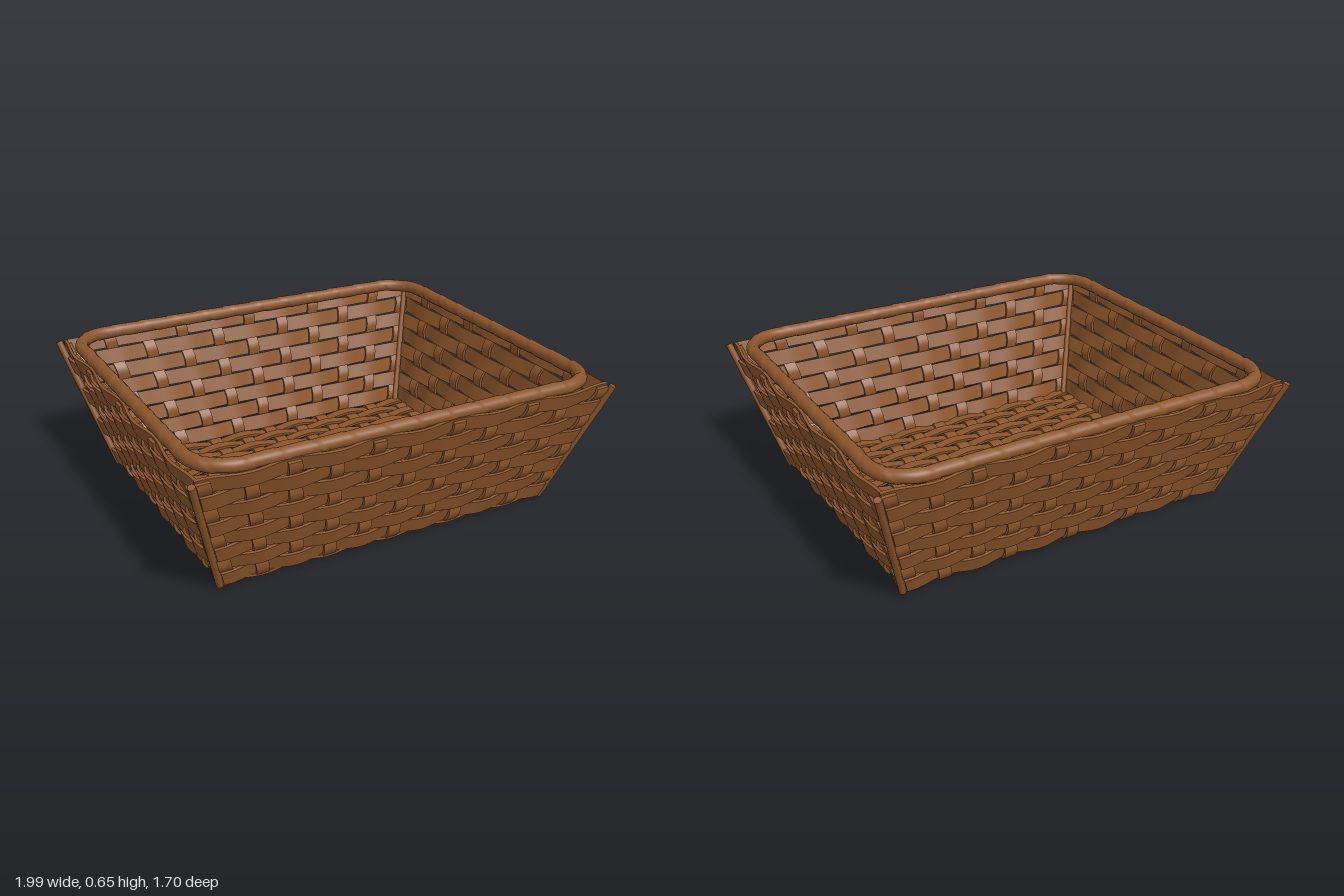
import * as THREE from 'three';

const wicker = new THREE.MeshStandardMaterial({ color: 0x8b552b });
wicker.name = 'wicker brown';

const HEIGHT = 0.61, ROW = 0.0745, ROW0 = 0.058;
const THICK = 0.013, WAVE = 0.0105;
const lerp = THREE.MathUtils.lerp;

function add(parent, geometry, name) {
  const mesh = new THREE.Mesh(geometry, wicker);
  mesh.name = name;
  parent.add(mesh);
  return mesh;
}

// Moves every vertex of a geometry by a rule
function bend(geometry, rule) {
  const p = geometry.attributes.position;
  for (let i = 0; i < p.count; i++) {
    const [x, y, z] = rule(p.getX(i), p.getY(i), p.getZ(i));
    p.setXYZ(i, x, y, z);
  }
  geometry.computeVertexNormals();
  return geometry;
}

// Woven wall facing +z: stakes fan out upwards, bands pass over and under them
function makeWall({ name, d0, d1, s0, s1, stakes, reach, parity, turn }) {
  const wall = new THREE.Group();
  wall.name = name;
  const len = Math.hypot(HEIGHT, d1 - d0);
  const ny = -(d1 - d0) / len, nz = HEIGHT / len;
  const place = (u, v, n) => {
    const t = v / HEIGHT;
    return [u * lerp(s0, s1, t), v + n * ny, lerp(d0, d1, t) + n * nz];
  };
  // horizontal bands
  for (let i = 0; i < 8; i++) {
    const g = new THREE.BoxGeometry(2 * reach, 0.069, THICK, Math.round(reach * 14), 1, 1);
    bend(g, (x, y, z) => place(x, ROW0 + i * ROW + y,
      z - WAVE * Math.cos(Math.PI * (x + i + parity))));
    add(wall, g, 'wallBand');
  }
  // upright stakes
  for (let j = -stakes; j <= stakes; j++) {
    const g = new THREE.BoxGeometry(0.058, 0.59, THICK, 1, 56, 1);
    bend(g, (x, y, z) => {
      const v = y + 0.31;
      const row = (v - ROW0) / ROW;
      const spacing = lerp(s0, s1, v / HEIGHT);
      return place(j + x / spacing, v, z + WAVE * Math.cos(Math.PI * (row + j + parity)));
    });
    add(wall, g, 'wallStake');
  }
  wall.rotation.y = turn;
  return wall;
}

// Open woven floor
function makeFloor() {
  const floor = new THREE.Group();
  floor.name = 'floor';
  const sx = 0.152, sz = 0.0655, z0 = 0.01, y0 = 0.022;
  for (let k = -9; k <= 9; k++) {
    const g = new THREE.BoxGeometry(1.58, 0.012, 0.053, 80, 1, 1);
    bend(g, (x, y, z) => [x, y0 + y + 0.009 * Math.cos(Math.PI * (x / sx + k)), z + z0 + k * sz]);
    add(floor, g, 'floorBand');
  }
  for (let j = -5; j <= 5; j++) {
    const g = new THREE.BoxGeometry(0.06, 0.012, 1.23, 1, 1, 114);
    bend(g, (x, y, z) =>
      [x + j * sx, y0 + y - 0.009 * Math.cos(Math.PI * ((z - z0) / sz + j)), z]);
    add(floor, g, 'floorStake');
  }
  return floor;
}

// Rounded rectangular rim wrapped with a spiralling strip
function makeRim() {
  const hx = 0.926, hz = 0.79, r = 0.17, y = 0.628;
  const path = new THREE.CurvePath();
  const at = (x, z) => new THREE.Vector3(x, y, z);
  const corners = [[1, 1], [-1, 1], [-1, -1], [1, -1]];
  corners.forEach(([a, b], i) => {
    const alongX = i % 2 === 0;
    const onSide = at(a * hx, b * (hz - r)), onEnd = at(a * (hx - r), b * hz);
    const start = alongX ? onSide : onEnd, end = alongX ? onEnd : onSide;
    const k = 0.45 * r;
    const c1 = alongX ? at(a * hx, b * (hz - k)) : at(a * (hx - k), b * hz);
    const c2 = alongX ? at(a * (hx - k), b * hz) : at(a * hx, b * (hz - k));
    path.add(new THREE.CubicBezierCurve3(start, c1, c2, end));
    const [na, nb] = corners[(i + 1) % 4];
    const next = alongX ? at(na * (hx - r), nb * hz) : at(na * hx, nb * (hz - r));
    path.add(new THREE.LineCurve3(end, next));
  });
  const segs = 480, sides = 14, wraps = 44;
  const g = new THREE.TubeGeometry(path, segs, 0.032, sides, true);
  const p = g.attributes.position, n = g.attributes.normal, uv = g.attributes.uv;
  for (let i = 0; i < p.count; i++) {
    const phase = uv.getX(i) * wraps + uv.getY(i);
    const lift = -0.0035 * (phase - Math.floor(phase + 1e-6));
    p.setXYZ(i, p.getX(i) + n.getX(i) * lift, p.getY(i) + n.getY(i) * lift,
      p.getZ(i) + n.getZ(i) * lift);
  }
  g.computeVertexNormals();
  const rim = new THREE.Group();
  rim.name = 'rim';
  add(rim, g, 'wrappedRim');
  return rim;
}

// Round rod between two points
function rod(parent, a, b, radius, name) {
  const dir = new THREE.Vector3().subVectors(b, a);
  const mesh = add(parent, new THREE.CylinderGeometry(radius, radius, dir.length(), 10), name);
  mesh.position.addVectors(a, b).multiplyScalar(0.5);
  mesh.quaternion.setFromUnitVectors(new THREE.Vector3(0, 1, 0), dir.normalize());
}

export function createModel() {
  const basket = new THREE.Group();
  basket.name = 'basket';

  const long = { d0: 0.615, d1: 0.822, s0: 0.152, s1: 0.187, stakes: 5, reach: 5.15, parity: 0 };
  const short = { d0: 0.79, d1: 0.966, s0: 0.15, s1: 0.2, stakes: 3, reach: 4.02, parity: 1 };
  basket.add(makeWall({ ...long, name: 'frontWall', turn: 0 }));
  basket.add(makeWall({ ...long, name: 'backWall', turn: Math.PI }));
  basket.add(makeWall({ ...short, name: 'leftWall', turn: Math.PI / 2 }));
  basket.add(makeWall({ ...short, name: 'rightWall', turn: -Math.PI / 2 }));
  basket.add(makeFloor());
  basket.add(makeRim());

  // corner posts: an outer rod and a thinner inner one on each corner
  const posts = new THREE.Group();
  posts.name = 'cornerPosts';
  for (const a of [-1, 1]) for (const b of [-1, 1]) {
    rod(posts, new THREE.Vector3(a * 0.802, 0.012, b * 0.618),
      new THREE.Vector3(a * 0.982, 0.605, b * 0.835), 0.016, 'cornerPost');
    rod(posts, new THREE.Vector3(a * 0.77, 0.015, b * 0.59),
      new THREE.Vector3(a * 0.945, 0.6, b * 0.8), 0.014, 'innerCornerPost');
  }
  basket.add(posts);
  return basket;
}
